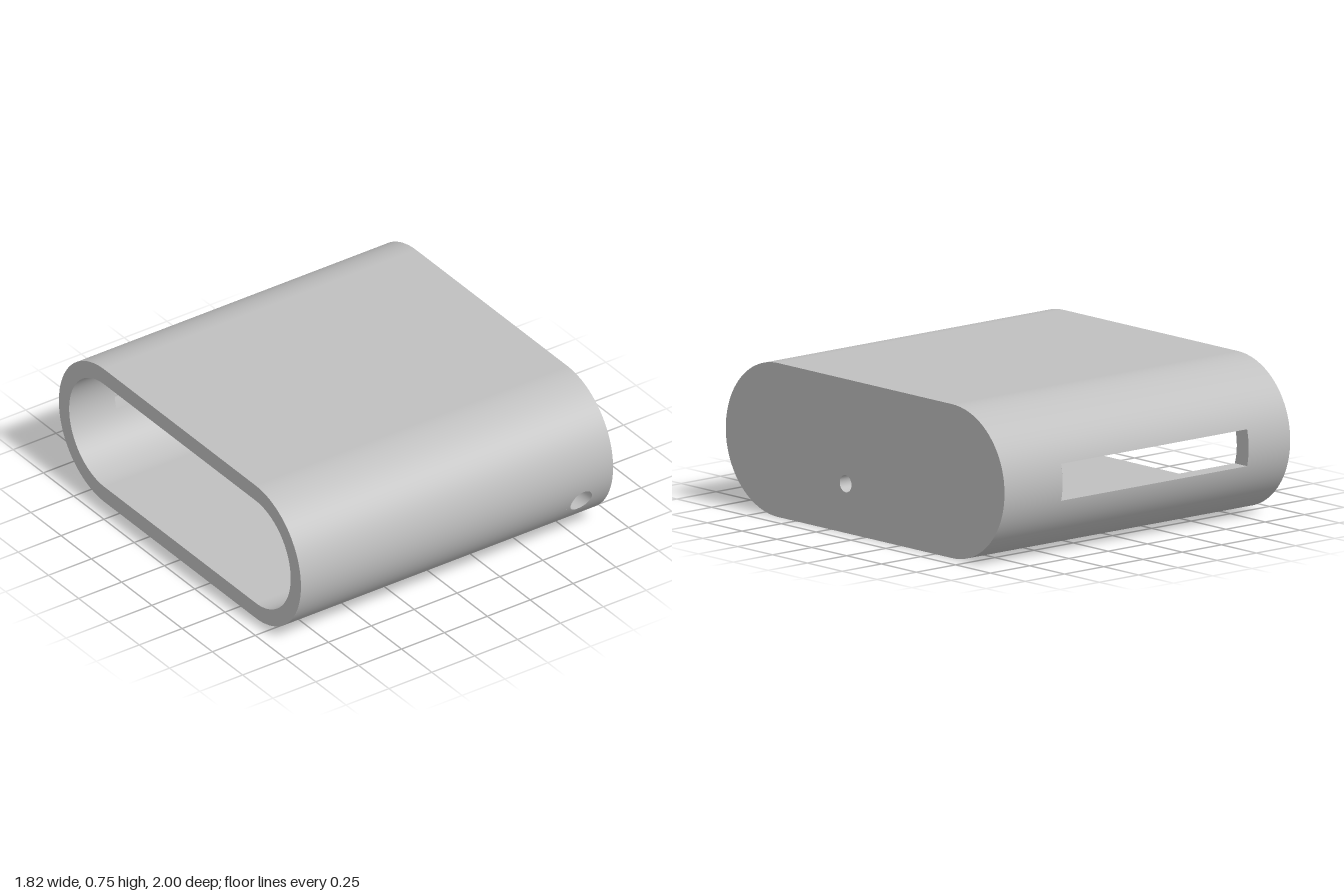
import * as THREE from 'three';

const L = 0.91, FLOOR = 0.82;             // half length, inner face of the closed end
const CY = 0.375, CZ = 0.625;             // centres of the rounded sides
const R_OUT = 0.375, R_IN = 0.29;
const SLOT = { x0: -0.645, x1: 0.54, y0: 0.285, y1: 0.465 };
const PORT = { x: 0.745, y: 0.23, r: 0.06, half: 0.075 };
const PIN = { z: 0.14, y: 0.24, r: 0.042 };
const V = (x, y, z) => new THREE.Vector3(x, y, z);

// z of the rounded side at height y
const sideZ = (r, y) => CZ + Math.sqrt(r * r - (y - CY) ** 2);

// outward direction of the stadium-shaped tube
function outward(p) {
  const c = THREE.MathUtils.clamp(p.z, -CZ, CZ);
  return V(0, p.y - CY, p.z - c).normalize();
}

// surface through rows of points, with optional skipped cells
function grid(rows, { normal, flip = false, skip } = {}) {
  const n = rows[0].length, pos = [], nor = [], idx = [];
  for (const row of rows) for (const p of row) {
    pos.push(p.x, p.y, p.z);
    if (normal) nor.push(...normal(p).multiplyScalar(flip ? -1 : 1).toArray());
  }
  for (let i = 0; i < rows.length - 1; i++) for (let j = 0; j < n - 1; j++) {
    const mid = rows[i][j].clone().add(rows[i + 1][j + 1]).multiplyScalar(0.5);
    if (skip && skip(mid)) continue;
    const a = i * n + j, b = a + n, c = b + 1, d = a + 1;
    if (flip) idx.push(a, c, b, a, d, c);
    else idx.push(a, b, c, a, c, d);
  }
  const g = new THREE.BufferGeometry();
  g.setAttribute('position', new THREE.Float32BufferAttribute(pos, 3));
  g.setIndex(idx);
  if (normal) g.setAttribute('normal', new THREE.Float32BufferAttribute(nor, 3));
  else g.computeVertexNormals();
  return g;
}

// half of the stadium outline, bottom to top, with samples at the given heights
function arc(r, heights) {
  const a = heights.map(y => Math.asin((y - CY) / r));
  for (let i = 0; i <= 40; i++) a.push(-Math.PI / 2 + Math.PI * i / 40);
  return a.sort((p, q) => p - q).map(t => [CY + r * Math.sin(t), CZ + r * Math.cos(t)]);
}
function outline(r) {
  const front = arc(r, [PORT.y - PORT.half, PORT.y + PORT.half]);
  const back = arc(r, [SLOT.y0, SLOT.y1]).reverse().map(([y, z]) => [y, -z]);
  return [...front, ...back, front[0]];
}

// flat end face in the outline's shape; dir is the way it faces along x
function endFace(r, x, dir, hole) {
  const pts = list => list.slice(0, -1).map(([y, z]) => new THREE.Vector2(-dir * z, y));
  const shape = new THREE.Shape(pts(outline(r)));
  shape.holes.push(hole ? new THREE.Path(pts(hole))
    : new THREE.Path().absarc(-dir * PIN.z, PIN.y, PIN.r, 0, Math.PI * 2, true));
  return new THREE.ShapeGeometry(shape, 16).rotateY(dir * Math.PI / 2).translate(x, 0, 0);
}

export function createModel() {
  const group = new THREE.Group();
  const grey = new THREE.MeshStandardMaterial({ color: 0xc0c0c0, side: THREE.DoubleSide });
  grey.name = 'plain grey';
  const add = (name, geometry) => {
    const mesh = new THREE.Mesh(geometry, grey);
    mesh.name = name;
    group.add(mesh);
  };

  // tube skins with windows for the slot and the round port
  const skip = m => m.z > CZ
    ? Math.abs(m.x - PORT.x) < PORT.half && Math.abs(m.y - PORT.y) < PORT.half
    : m.z < -CZ && m.x > SLOT.x0 && m.x < SLOT.x1 && m.y > SLOT.y0 && m.y < SLOT.y1;
  const skin = (r, xs, flip) =>
    grid(xs.map(x => outline(r).map(([y, z]) => V(x, y, z))), { normal: outward, flip, skip });
  const xs = [-L, SLOT.x0, SLOT.x1, PORT.x - PORT.half, PORT.x + PORT.half];
  add('outerShell', skin(R_OUT, [...xs, L], false));
  add('innerShell', skin(R_IN, xs, true));

  // skin around the round port, from circle out to square window
  const ring = (r, k) => Array.from({ length: 49 }, (_, j) => {
    const t = j / 48 * Math.PI * 2, c = Math.cos(t), s = Math.sin(t);
    const rad = THREE.MathUtils.lerp(PORT.r, PORT.half / Math.max(Math.abs(c), Math.abs(s)), k);
    const y = PORT.y + rad * s;
    return V(PORT.x + rad * c, y, sideZ(r, y));
  });
  for (const [name, r, flip] of [['portSurround', R_OUT, false], ['portSurroundInside', R_IN, true]]) {
    add(name, grid([0, 0.33, 0.67, 1].map(k => ring(r, k)), { normal: outward, flip }));
  }
  add('portBore', grid([ring(R_IN, 0), ring(R_OUT, 0)], { flip: true }));

  // cut faces of the long back slot
  const ledge = (y, r) => [SLOT.x0, SLOT.x1].map(x => V(x, y, -sideZ(r, y)));
  const cheek = (x, r) => Array.from({ length: 9 }, (_, i) => {
    const y = THREE.MathUtils.lerp(SLOT.y0, SLOT.y1, i / 8);
    return V(x, y, -sideZ(r, y));
  });
  add('slotBottom', grid([ledge(SLOT.y0, R_OUT), ledge(SLOT.y0, R_IN)]));
  add('slotTop', grid([ledge(SLOT.y1, R_OUT), ledge(SLOT.y1, R_IN)], { flip: true }));
  add('slotSideRight', grid([cheek(SLOT.x0, R_OUT), cheek(SLOT.x0, R_IN)], { flip: true }));
  add('slotSideLeft', grid([cheek(SLOT.x1, R_OUT), cheek(SLOT.x1, R_IN)]));

  // open rim, closed end and its pin hole
  add('openRim', endFace(R_OUT, -L, -1, outline(R_IN)));
  add('closedEnd', endFace(R_OUT, L, 1));
  add('closedEndInside', endFace(R_IN, FLOOR, -1));
  add('pinHole', new THREE.CylinderGeometry(PIN.r, PIN.r, L - FLOOR, 32, 1, true)
    .rotateZ(Math.PI / 2).translate((L + FLOOR) / 2, PIN.y, PIN.z));
  return group;
}
